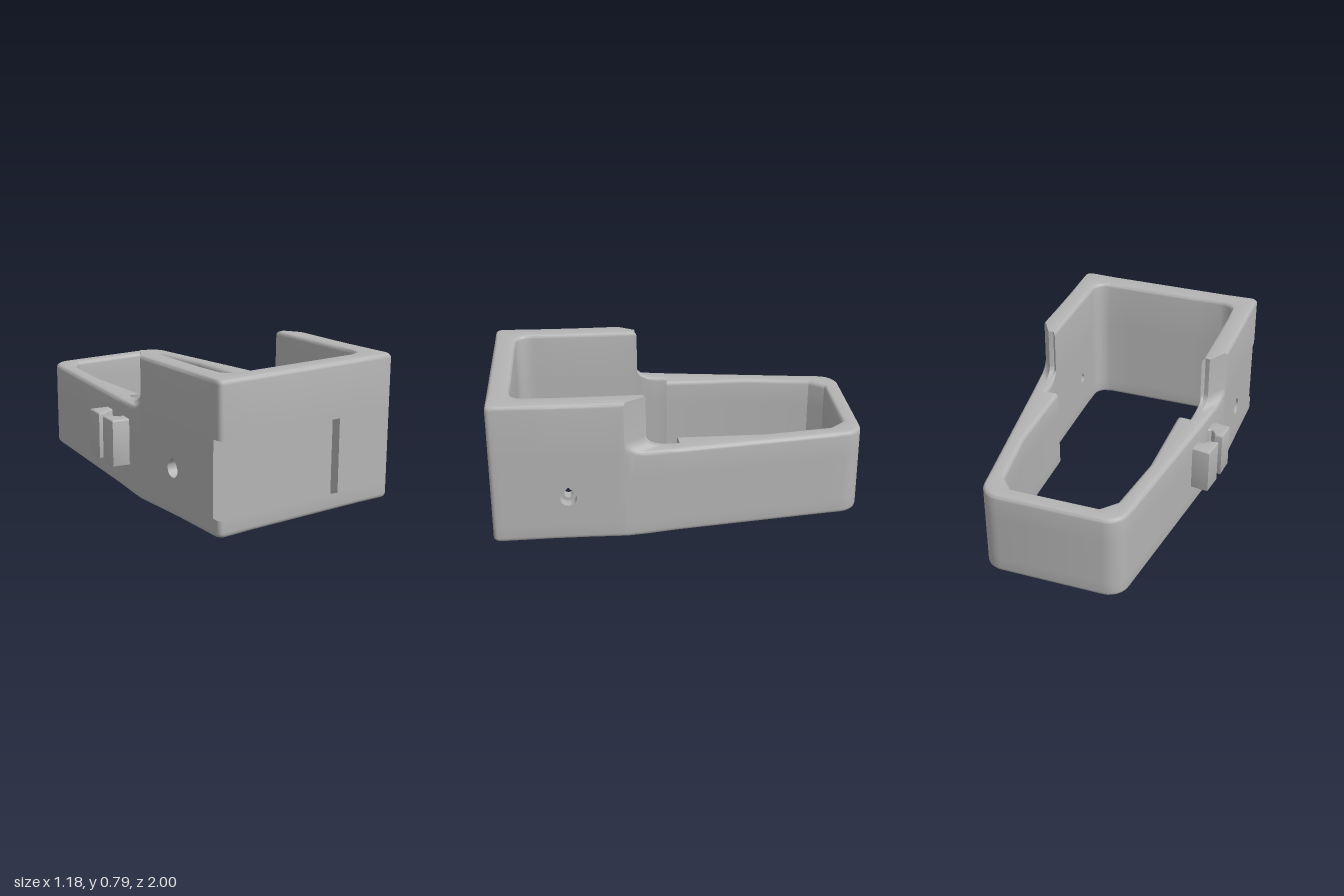
import * as THREE from 'three';
import { toCreasedNormals } from 'three/addons/utils/BufferGeometryUtils.js';

const CX = 0.035;          // centre line of the frame
const TALL = 0.785, LOW = 0.495;
const R = 0.024, N = 4;    // edge rounding and its segments
const ROWS = [0.09, 0.15, 0.35, 0.49];
const lerp = THREE.MathUtils.lerp;
const taper = z => 0.555 - (0.3 - z) * 0.1333;

// Half plan from front to back: outer (u, z), inner (u, z), height, cut
function halfPlan() {
  const list = [];
  const add = (ou, oz, iu, iz, h = TALL, cut = '', end = false) => list.push({ ou, oz, iu, iz, h, cut, end });
  add(0.2, 1, 0.2, 0.88);
  add(0.36, 1, 0.36, 0.88);
  for (let k = 0; k <= 4; k++) {           // front corner
    const a = Math.PI / 2 * (1 - k / 4), c = Math.cos(a), s = Math.sin(a);
    add(0.53 + 0.025 * c, 0.975 + 0.025 * s, 0.36 + 0.08 * c, 0.8 + 0.08 * s);
  }
  for (const s of list) s.cut = 'recess';
  add(0.555, 0.945, 0.44, 0.77);
  add(0.555, 0.69, 0.44, 0.69, TALL, 'hole');
  add(0.555, 0.5, 0.44, 0.5);
  add(0.555, 0.32, 0.44, 0.21);
  add(0.555, 0.3, 0.44, 0.18, TALL, '', true);
  for (let k = 0; k <= 6; k++) {           // step down with a fillet
    const a = k / 6 * Math.PI / 2, d = 0.002 + 0.11 * (1 - Math.cos(a));
    add(taper(0.3 - d), 0.3 - d, 0.44 - d * 0.083, 0.18 - d, LOW + 0.065 * (1 - Math.sin(a)), '', true);
  }
  add(taper(0.05), 0.05, 0.43, 0.02, LOW);
  add(taper(0), 0, 0.425, 0, LOW);
  add(taper(-0.005), -0.005, 0.36, 0.01, LOW);   // inner rib
  add(taper(-0.47), -0.47, 0.36, -0.47, LOW);
  add(taper(-0.83), -0.83, 0.31, -0.83, LOW);
  for (let k = 0; k <= 6; k++) {           // back corner, chamfered inside
    const a = lerp(0.13, Math.PI / 2, k / 6);
    add(0.285 + 0.11 * Math.cos(a), -0.89 - 0.11 * Math.sin(a), lerp(0.31, 0.24, k / 6), lerp(-0.83, -0.91, k / 6), LOW);
  }
  return list;
}

// Wall cross-section with rounded edges at one station
function section(s) {
  const o = new THREE.Vector2(CX + s.side * s.ou, s.oz), i = new THREE.Vector2(CX + s.side * s.iu, s.iz);
  const dir = i.clone().sub(o).normalize();
  const arc = [];
  for (let k = 0; k <= N; k++) {
    const a = k / N * Math.PI / 2;
    arc.push([R * (1 - Math.sin(a)), R * (1 - Math.cos(a))]);
  }
  const at = (base, off, y) => new THREE.Vector3(base.x + dir.x * off, y, base.y + dir.y * off);
  const side = (base, sign) => [
    ...arc.map(([d, y]) => at(base, sign * d, y)),
    ...ROWS.map(y => at(base, 0, Math.min(y, s.h - R))),
    ...arc.slice().reverse().map(([d, y]) => at(base, sign * d, s.h - y)),
  ];
  const mid = s.end ? new THREE.Vector3(lerp(i.x, o.x, 0.37), s.h, s.iz + 0.01)
    : new THREE.Vector3((i.x + o.x) / 2, s.h, (i.y + o.y) / 2);
  return [...side(o, 1), mid, ...side(i, -1).reverse()];
}

function frameGeometry() {
  const half = halfPlan();
  const right = half.map(s => ({ ...s, side: -1 }));
  // on the other side the interval order is reversed, so shift the hole flag
  const left = half.map((s, k) => ({ ...s, side: 1, cut: k && half[k - 1].cut === 'hole' ? 'hole' : '' })).reverse();
  left[left.length - 1].cut = 'recess';
  const path = [...right, ...left], rings = path.map(section), pos = [];
  const open = { hole: [6, 21], recess: [5, 6, 7] };
  path.forEach((s, i) => {
    const p = rings[i], q = rings[(i + 1) % rings.length], n = p.length;
    for (let j = 0; j < n; j++) {
      if (s.cut && open[s.cut].includes(j)) continue;
      const k = (j + 1) % n;
      for (const v of [p[j], p[k], q[k], p[j], q[k], q[j]]) pos.push(v.x, v.y, v.z);
    }
  });
  const g = new THREE.BufferGeometry();
  g.setAttribute('position', new THREE.Float32BufferAttribute(pos, 3));
  return toCreasedNormals(g, 0.5);
}

// Square block with a teardrop hole
function holeBlock(r, depth) {
  const shape = new THREE.Shape([[-0.095, 0.15], [0.095, 0.15], [0.095, 0.35], [-0.095, 0.35]].map(p => new THREE.Vector2(...p)));
  const hole = new THREE.Path();
  hole.absarc(0, 0.25, r, Math.PI / 4, Math.PI * 3 / 4, true);
  hole.lineTo(0, 0.25 + r * Math.SQRT2);
  hole.closePath();
  shape.holes.push(hole);
  const g = new THREE.ExtrudeGeometry(shape, { depth, bevelEnabled: false, curveSegments: 24 });
  return toCreasedNormals(g.rotateY(Math.PI / 2), 0.5);
}

// Plan outline (x, z) raised to a slab
function slab(points, depth, bevel = 0) {
  const shape = new THREE.Shape(points.map(([x, z]) => new THREE.Vector2(x, -z)));
  return new THREE.ExtrudeGeometry(shape, {
    depth: depth - 2 * bevel, bevelEnabled: bevel > 0, bevelSize: bevel, bevelThickness: bevel, bevelOffset: -bevel, bevelSegments: 3,
  }).rotateX(-Math.PI / 2).translate(0, bevel, 0);
}

export function createModel() {
  const model = new THREE.Group();
  const grey = new THREE.MeshStandardMaterial({ color: 0xb4b4b4 });
  grey.name = 'grey plastic';
  const add = (name, geometry, x = 0, y = 0, z = 0) => {
    const mesh = new THREE.Mesh(geometry, grey);
    mesh.name = name;
    mesh.position.set(x, y, z);
    model.add(mesh);
  };

  add('frame', frameGeometry());

  // counterbored screw holes in both side walls
  for (const side of [-1, 1]) {
    for (const [u, depth, r] of [[0.44, 0.06, 0.025], [0.5, 0.055, 0.045]]) {
      add('screwHole', holeBlock(r, depth), side > 0 ? CX + u : CX - u - depth, 0, 0.595);
    }
  }

  // front slide-in recess, open at one end
  const ledge = [[-0.52, 0.94], [-0.52, 0.975], [-0.513, 0.993], [-0.495, 1], [0.235, 1], [0.235, 0.94]];
  add('recessBack', new THREE.BoxGeometry(0.7549, 0.435, 0.045), -0.1425, 0.2825, 0.9225);
  add('recessTop', slab(ledge, 0.004), 0, 0.49, 0);
  const floor = slab(ledge, 0.004), p = floor.attributes.position;
  for (let i = 0; i < p.count; i++) p.setY(i, p.getY(i) - 0.36 * (1 - p.getZ(i)));
  floor.computeVertexNormals();
  add('recessLip', floor, 0, 0.086, 0);
  add('recessEnd', new THREE.BoxGeometry(0.004, 0.42, 0.059), 0.237, 0.28, 0.9695);

  // cable clip: two facing hooks on the side wall
  const hooks = [
    [[-0.56, -0.16], [-0.44, -0.142], [-0.45, -0.07], [-0.485, -0.068], [-0.505, -0.062], [-0.525, -0.04], [-0.577, -0.035]],
    [[-0.585, 0.018], [-0.54, 0.026], [-0.525, 0.055], [-0.508, 0.07], [-0.49, 0.06], [-0.47, 0.06], [-0.48, 0.154], [-0.595, 0.138]],
  ];
  for (const h of hooks) add('clipHook', toCreasedNormals(slab(h, 0.26, 0.008), 0.6), 0, 0.15, 0);

  return model;
}
